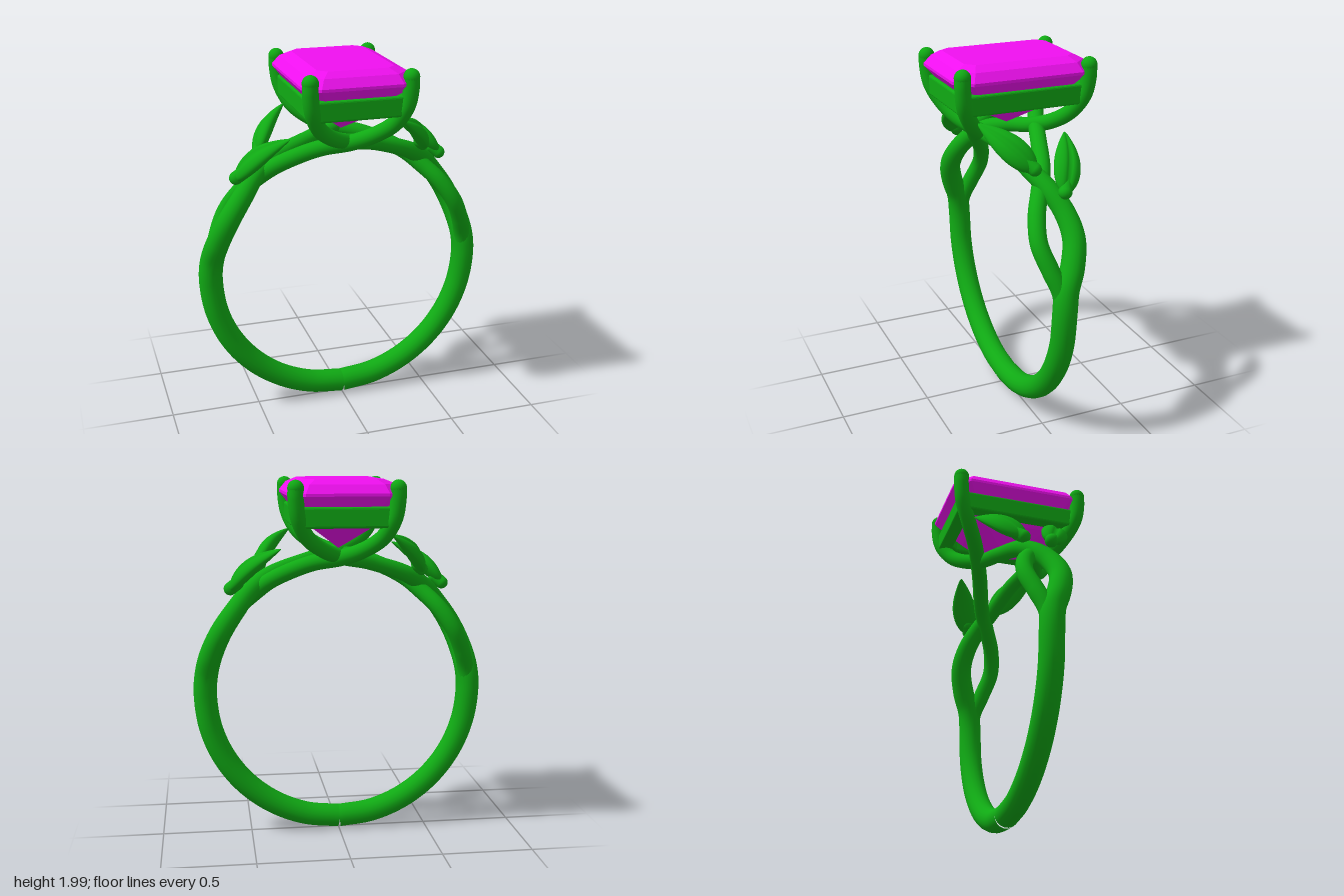
import * as THREE from 'three';
import { ConvexGeometry } from 'three/addons/geometries/ConvexGeometry.js';

const V = (x, y, z) => new THREE.Vector3(x, y, z);
const metal = new THREE.MeshStandardMaterial({ color: 0x10aa14 });
const stone = new THREE.MeshStandardMaterial({ color: 0xf010f0, flatShading: true });

function part(name, geometry, material = metal) {
  const m = new THREE.Mesh(geometry, material);
  m.name = name;
  return m;
}

// Point on the finger ring: angle in degrees, sideways offset z, radius R
function onRing(deg, z = 0, R = 0.745) {
  const a = THREE.MathUtils.degToRad(deg);
  return V(Math.cos(a) * R, 0.82 + Math.sin(a) * R, z);
}

// Tube whose radius follows a rule of t along the path
function taperedTube(points, radiusAt, segments, sides = 18) {
  const path = new THREE.CatmullRomCurve3(points);
  const g = new THREE.TubeGeometry(path, segments, 1, sides);
  const pos = g.attributes.position, v = V(0, 0, 0);
  for (let i = 0; i <= segments; i++) {
    const c = path.getPointAt(i / segments), r = radiusAt(i / segments);
    for (let j = 0; j <= sides; j++) {
      const k = i * (sides + 1) + j;
      v.fromBufferAttribute(pos, k).sub(c).multiplyScalar(r).add(c);
      pos.setXYZ(k, v.x, v.y, v.z);
    }
  }
  return g;
}

// End of a strand: under the stone, then up into a corner prong (s = side in z)
function prongPath(s, z0) {
  return [
    V(0.16, 1.55, s * (z0 - 0.06)), V(0, 1.585, s * z0),
    V(-0.11, 1.63, s * 0.225), V(-0.2, 1.70, s * 0.285),
    V(-0.25, 1.80, s * 0.335), V(-0.265, 1.9, s * 0.35), V(-0.265, 1.957, s * 0.35),
  ];
}

// Leaf: a sphere reshaped into a pointed blade with a groove along the middle
function leaf(base, tip, facing, width, thick) {
  const group = new THREE.Group();
  group.name = 'leaf';
  const axis = tip.clone().sub(base), length = axis.length();
  axis.normalize();
  const side = axis.clone().cross(facing).normalize();
  const normal = side.clone().cross(axis);
  const g = new THREE.SphereGeometry(1, 32, 24), pos = g.attributes.position;
  for (let i = 0; i < pos.count; i++) {
    const x = pos.getX(i), y = pos.getY(i), z = pos.getZ(i);
    const t = (y + 1) / 2;
    const taper = 1.12 - 0.75 * t * t;
    const groove = z > 0 ? 0.35 * z * Math.exp(-Math.pow(x * 6, 2)) : 0;
    pos.setXYZ(i, x * taper * width / 2, t * length,
      (z - groove) * taper * thick / 2 + 0.025 * Math.sin(Math.PI * t));
  }
  g.applyMatrix4(new THREE.Matrix4().makeBasis(side, axis, normal).setPosition(base));
  g.computeVertexNormals();
  group.add(part('leafBlade', g));
  // Rounded stem end
  const nub = part('leafStem', new THREE.CapsuleGeometry(0.036, 0.05, 6, 14));
  nub.quaternion.setFromUnitVectors(V(0, 1, 0), axis);
  nub.position.copy(base).addScaledVector(axis, 0.03);
  group.add(nub);
  return group;
}

// Half of the ring: main strand, side strand, two prongs and two leaves
function halfRing(name) {
  const half = new THREE.Group();
  half.name = name;

  const main = [];
  for (let d = -90; d <= 0; d += 15) main.push(onRing(d));
  main.push(onRing(9, -0.012), onRing(18, -0.055), onRing(29, -0.087), onRing(40, -0.07),
    onRing(50, -0.02, 0.755), onRing(60, 0.035, 0.755), ...prongPath(1, 0.15));
  half.add(part('mainStrand', taperedTube(main,
    t => THREE.MathUtils.lerp(0.065, 0.042, THREE.MathUtils.smoothstep(t, 0.42, 0.78)), 160)));

  const second = [onRing(-6, 0, 0.74), onRing(8, 0.015, 0.735), onRing(18, 0.06, 0.728),
    onRing(29, 0.097, 0.725), onRing(40, 0.075, 0.725), onRing(50, 0.02, 0.725),
    onRing(60, -0.04, 0.735), ...prongPath(-1, 0.175)];
  half.add(part('sideStrand', taperedTube(second, t => 0.048 - 0.006 * t, 110)));

  for (const s of [1, -1]) {
    const end = part('prongTip', new THREE.SphereGeometry(0.043, 20, 14));
    end.position.set(-0.265, 1.957, s * 0.35);
    half.add(end);
  }

  half.add(leaf(V(0.6, 1.41, -0.06), V(0.33, 1.635, -0.185), V(0.55, 0.75, -0.2), 0.15, 0.085));
  half.add(leaf(V(0.46, 1.5, 0.04), V(0.25, 1.71, 0.265), V(0.6, 0.6, 0.25), 0.15, 0.085));
  return half;
}

// Rectangle with cut corners
function cutRect(hx, hz, c) {
  return [[hx, hz - c], [hx - c, hz], [c - hx, hz], [-hx, hz - c],
    [-hx, c - hz], [c - hx, -hz], [hx - c, -hz], [hx, c - hz]];
}

// Step-cut stone: stacked outlines closing to a point below
function gem() {
  const points = [V(0, 1.62, 0)];
  const layers = [[2.0, 0.205, 0.3, 0.045], [1.975, 0.265, 0.35, 0.07], [1.93, 0.3, 0.385, 0.085],
    [1.915, 0.3, 0.385, 0.085], [1.85, 0.25, 0.33, 0.07], [1.75, 0.17, 0.235, 0.05]];
  for (const [y, hx, hz, c] of layers)
    for (const [x, z] of cutRect(hx, hz, c)) points.push(V(x, y, z));
  return part('gem', new ConvexGeometry(points), stone);
}

// Rectangular rail that carries the stone
function collar() {
  const toV2 = ([x, z]) => new THREE.Vector2(x, z);
  const shape = new THREE.Shape(cutRect(0.272, 0.357, 0.04).map(toV2));
  shape.holes.push(new THREE.Path(cutRect(0.2, 0.28, 0.03).map(toV2)));
  const g = new THREE.ExtrudeGeometry(shape, {
    depth: 0.086, bevelEnabled: true, bevelSize: 0.012, bevelThickness: 0.012,
    bevelOffset: -0.012, bevelSegments: 3,
  });
  g.rotateX(-Math.PI / 2).translate(0, 1.763, 0);
  return part('collar', g);
}

export function createModel() {
  const ring = new THREE.Group();
  ring.name = 'ring';
  const left = halfRing('leftHalf'), right = halfRing('rightHalf');
  right.rotation.y = Math.PI;
  ring.add(left, right, collar(), gem());
  return ring;
}
